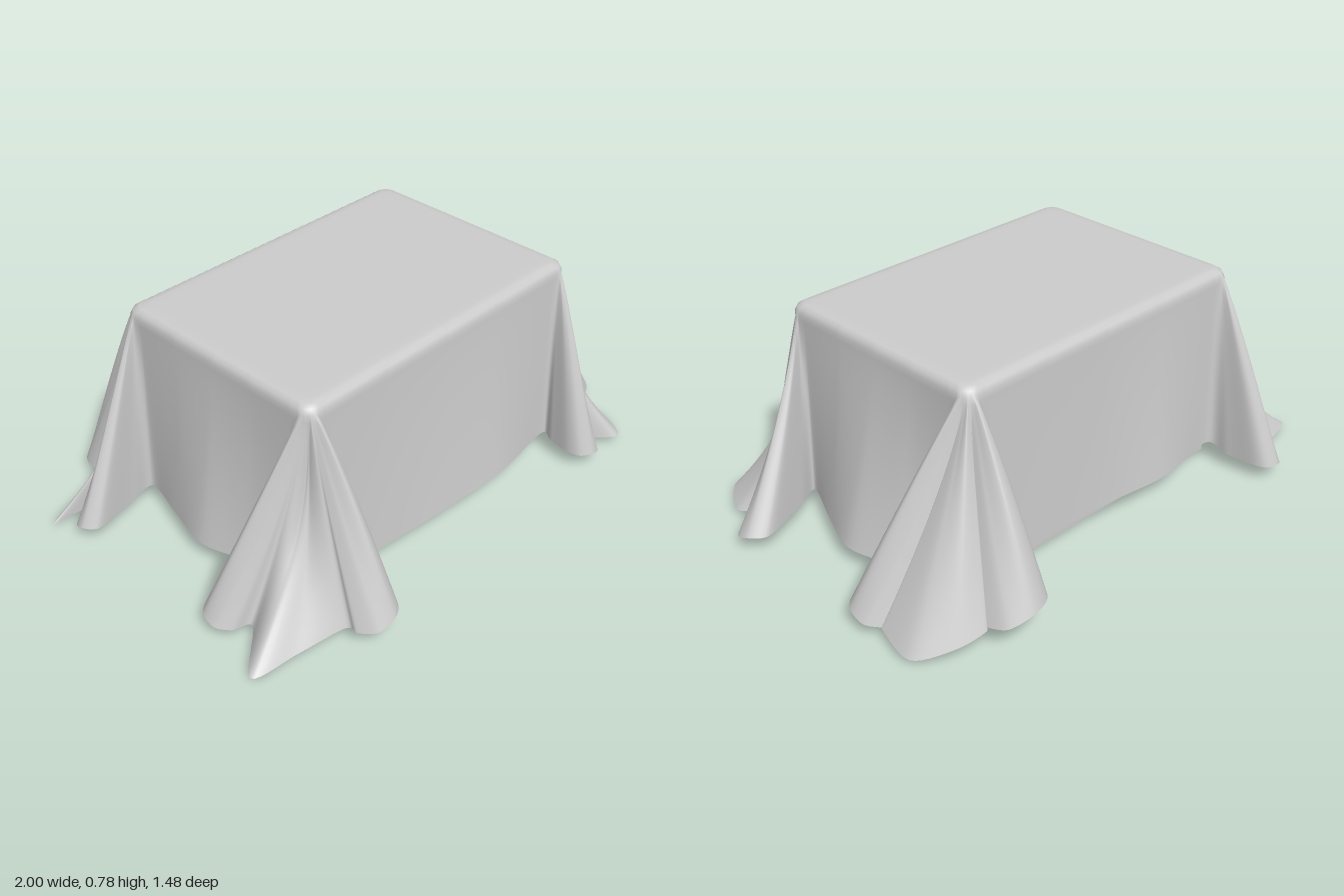
import * as THREE from 'three';

// Half size of the cloth's top, its height, the roundness of its corners and where the drop starts
const HX = 0.64, HZ = 0.44, TOP = 0.782, R = 0.045, SHOULDER = 0.752;

// Each side is a wall followed by the gathered corner that ends it.
// wall: hem height and three bulges along it; lobe: tip x, tip z, half width, hem height, flare;
// flap: loose cloth between the lobes as x, z, height, flare; fill: how far out the lobes join it
const SIDES = [
  { // front wall, front left corner
    hemY: 0.07, bulge: [0.03, 0.05, 0.055], fill: 0.62,
    lobeA: [0.605, 0.665, 0.068, 0.06, 0.9], lobeB: [1, 0.29, 0.068, 0.06, 1.25],
    flap: [[0.8, 0.645, 0.03, 2.4], [0.89, 0.52, 0.015, 2.3]],
  },
  { // left wall, back left corner
    hemY: 0.062, bulge: [0.09, 0.15, 0.1], fill: 0.93,
    lobeA: [0.985, -0.25, 0.1, 0.06, 0.95], lobeB: [0.65, -0.745, 0.12, 0.13, 0.85],
    flap: [[0.98, -0.53, 0.015, 1.25], [0.87, -0.625, 0.05, 1.05]],
  },
  { // back wall, back right corner
    hemY: 0.09, bulge: [0.015, 0.025, 0.055], fill: 0.5,
    lobeA: [-0.67, -0.71, 0.062, 0.06, 0.9], lobeB: [-0.97, -0.365, 0.055, 0.05, 1],
    flap: [[-0.8, -0.56, 0.02, 2.2], [-1, -0.5, 0.01, 2.6]],
  },
  { // right wall, front right corner
    hemY: 0.06, bulge: [0.06, 0.1, 0.05], fill: 0.68,
    lobeA: [-0.945, 0.25, 0.08, 0.045, 1], lobeB: [-0.555, 0.735, 0.09, 0.085, 0.85],
    flap: [[-1, 0.535, 0, 2.6], [-0.84, 0.58, 0.02, 2.2]],
  },
];

// Hem of one hanging fold: a half circle round the tip and one point on each flank.
// inner is the side (-1 or 1) that meets the flap, where the hem sinks and kicks out.
function lobePoints(cx, cz, [tx, tz, w, y, flare], inner, fill) {
  const length = Math.hypot(tx - cx, tz - cz);
  const dx = (tx - cx) / length, dz = (tz - cz) / length;
  const at = (along, across) => {
    const sink = Math.max(0, inner * across / w);
    return [cx + dx * along + dz * across, cz + dz * along - dx * across,
      y * (1 - 0.4 * sink), flare + 0.35 * sink];
  };
  const flank = (side) => at((side === inner ? fill : 0.4) * (length - w * 0.6), side * w);
  const points = [flank(-1)];
  for (let i = -2; i <= 2; i++) {
    const a = i * Math.PI / 4;
    points.push(at(length - w + w * Math.cos(a), w * Math.sin(a)));
  }
  points.push(flank(1));
  return points;
}

// The hem loop, and the loop of edge points it hangs from (which carries the flare as y)
function drapeCurves() {
  const hem = [], root = [];
  SIDES.forEach(({ hemY, bulge, lobeA, lobeB, flap, fill }, s) => {
    const turn = s * Math.PI / 2, sin = Math.round(Math.sin(turn)), cos = Math.round(Math.cos(turn));
    const [half, out] = s % 2 ? [HZ, HX] : [HX, HZ];
    const place = (along, away, y) =>
      new THREE.Vector3(cos * along + sin * away, y, cos * away - sin * along);

    // Wall, hanging from its straight edge
    [0.015, ...bulge, 0.015].forEach((b, i) => {
      const along = (i / 2 - 1) * (half - 0.08);
      hem.push(place(along, out + b, hemY));
      root.push(place(along, out, 1.3));
    });

    // Corner, every point hanging from one small rounded arc
    const { x: cx, z: cz } = place(half, out, 0);
    const points = [
      ...lobePoints(cx, cz, lobeA, 1, fill), ...flap, ...lobePoints(cx, cz, lobeB, -1, fill)];
    points.forEach(([x, z, y, flare], i) => {
      const a = Math.PI / 2 * i / (points.length - 1);
      hem.push(new THREE.Vector3(x, y, z));
      root.push(place(half - R + R * Math.sin(a), out - R + R * Math.cos(a), flare));
    });
  });
  return [
    new THREE.CatmullRomCurve3(hem, true, 'catmullrom', 0.45),
    new THREE.CatmullRomCurve3(root, true, 'catmullrom', 0.1)];
}

function clothGeometry() {
  const [hem, root] = drapeCurves();
  const N = 560, DROP = 32;
  // Flat top and rounded shoulder as [inset, y]
  const cap = [[HX, TOP], [0.07, TOP], [0.045, TOP], [0.022, 0.78], [0.007, 0.77]];
  const rows = cap.length + DROP + 1;
  const pos = [], index = [];
  for (let r = 0; r < rows; r++) {
    for (let i = 0; i < N; i++) {
      const h = hem.getPoint(i / N), e = root.getPoint(i / N);
      if (r < cap.length) {
        const [inset, y] = cap[r];
        pos.push(e.x * (1 - inset / HX), y, e.z * Math.max(0, 1 - inset / HZ));
      } else {
        const t = (r - cap.length) / DROP, k = Math.pow(t, e.y);
        pos.push(e.x + (h.x - e.x) * k, SHOULDER + (h.y - SHOULDER) * t, e.z + (h.z - e.z) * k);
      }
    }
  }
  for (let r = 0; r < rows - 1; r++) {
    for (let i = 0; i < N; i++) {
      const j = (i + 1) % N, a = r * N + i, b = r * N + j, c = a + N, d = b + N;
      if (r > 0) index.push(a, c, b);
      index.push(b, c, d);
    }
  }
  const g = new THREE.BufferGeometry();
  g.setAttribute('position', new THREE.Float32BufferAttribute(pos, 3));
  g.setIndex(index);
  g.computeVertexNormals();
  return g;
}

export function createModel() {
  const model = new THREE.Group();
  model.name = 'drapedTable';

  // Plain block under the cloth
  const block = new THREE.Mesh(
    new THREE.BoxGeometry(1.21, 0.74, 0.81),
    new THREE.MeshStandardMaterial({ color: 0xcccccc }));
  block.name = 'tableBlock';
  block.position.y = 0.39;
  model.add(block);

  // Cloth falling over the sides and gathering at the corners
  const cloth = new THREE.Mesh(
    clothGeometry(),
    new THREE.MeshStandardMaterial({ color: 0xcccccc, side: THREE.DoubleSide }));
  cloth.name = 'tablecloth';
  model.add(cloth);

  return model;
}
